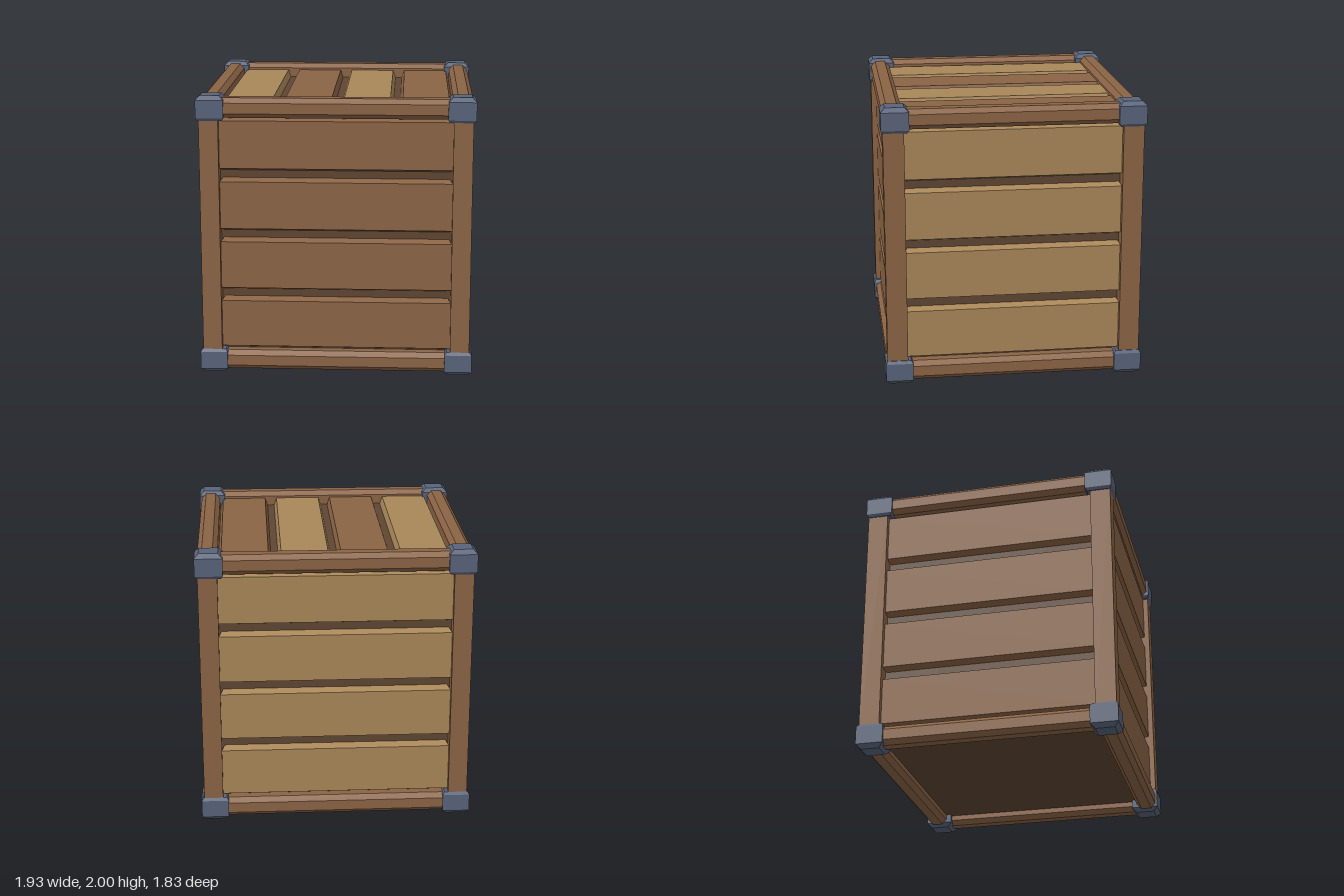
import * as THREE from 'three';

const material = (name, color) => {
  const m = new THREE.MeshStandardMaterial({ color });
  m.name = name;
  return m;
};

// Solid lofted through rectangular rings [y, halfX, halfZ], with hard edges
function loft(rings) {
  const corners = rings.map(([y, hx, hz]) =>
    [[1, 1], [1, -1], [-1, -1], [-1, 1]].map(([sx, sz]) => [sx * hx, y, sz * hz]));
  const pos = [];
  const quad = (a, b, c, d) => pos.push(...a, ...b, ...c, ...a, ...c, ...d);
  for (let i = 0; i + 1 < corners.length; i++) {
    for (let j = 0; j < 4; j++) {
      const k = (j + 1) % 4;
      quad(corners[i][j], corners[i][k], corners[i + 1][k], corners[i + 1][j]);
    }
  }
  quad(...corners[corners.length - 1]);
  quad(...[...corners[0]].reverse());
  const g = new THREE.BufferGeometry();
  g.setAttribute('position', new THREE.Float32BufferAttribute(pos, 3));
  g.computeVertexNormals();
  return g;
}

// Beam along z with chamfered long edges
function beamGeometry(length) {
  const h = 0.07, c = 0.037;
  const shape = new THREE.Shape([
    [h, -c], [h, c], [c, h], [-c, h], [-h, c], [-h, -c], [-c, -h], [c, -h],
  ].map(([x, y]) => new THREE.Vector2(x, y)));
  return new THREE.ExtrudeGeometry(shape, { depth: length, bevelEnabled: false })
    .translate(0, 0, -length / 2);
}

export function createModel() {
  const crate = new THREE.Group();
  crate.name = 'crate';
  const brown = material('brown wood', 0x8b6445);
  const tan = material('tan wood', 0xa98759);
  const dark = material('dark inner wood', 0x5f4632);
  const steel = material('blue grey steel', 0x59647a);

  const add = (parent, name, geometry, mat, x = 0, y = 0, z = 0) => {
    const mesh = new THREE.Mesh(geometry, mat);
    mesh.name = name;
    mesh.position.set(x, y, z);
    parent.add(mesh);
    return mesh;
  };

  const px = 0.878, pz = 0.828;   // frame centre lines
  const lowY = 0.09, highY = 1.913;

  // Dark core seen between the planks
  add(crate, 'core', new THREE.BoxGeometry(1.7, 1.79, 1.61), dark, 0, 0.985, 0);

  // Corner posts and steel caps
  const post = new THREE.BoxGeometry(0.135, 1.74, 0.145);
  const topCap = loft([[-0.09, 0.083, 0.083], [-0.07, 0.0965, 0.0965],
    [0.055, 0.0965, 0.0965], [0.085, 0.066, 0.066]]);
  const bottomCap = topCap.clone().rotateX(Math.PI);
  for (const sx of [-1, 1]) {
    for (const sz of [-1, 1]) {
      add(crate, 'post', post, brown, sx * px, 1, sz * pz);
      add(crate, 'topCap', topCap, steel, sx * 0.868, 1.915, sz * 0.817);
      add(crate, 'bottomCap', bottomCap, steel, sx * 0.868, 0.085, sz * 0.817);
    }
  }

  // Chamfered beams round the top and bottom
  const longBeam = beamGeometry(1.62).rotateY(Math.PI / 2);
  const sideBeam = beamGeometry(1.52);
  for (const y of [lowY, highY]) {
    for (const s of [-1, 1]) {
      add(crate, 'longBeam', longBeam, brown, 0, y, s * pz);
      add(crate, 'sideBeam', sideBeam, brown, s * px, y, 0);
    }
  }

  // Bevelled plank, outer face at local y = 0, running along x
  const plank = (halfLength, faceHalf, baseHalf) =>
    loft([[-0.07, halfLength - 0.025, baseHalf], [0, halfLength, faceHalf]]);

  // Four planks on each side wall
  const walls = [
    ['front', 0, 0.862, 0.812, brown],
    ['right', Math.PI / 2, 0.905, 0.765, tan],
    ['back', Math.PI, 0.862, 0.812, tan],
    ['left', -Math.PI / 2, 0.905, 0.765, brown],
  ];
  for (const [name, turn, distance, halfLength, mat] of walls) {
    const wall = new THREE.Group();
    wall.name = name + 'Wall';
    wall.rotation.y = turn;
    const geometry = plank(halfLength, 0.168, 0.194).rotateX(Math.PI / 2);
    for (let i = 0; i < 4; i++) {
      add(wall, 'plank', geometry, mat, 0, 0.357 + i * 0.432, distance);
    }
    crate.add(wall);
  }

  // Lid planks in alternating colours
  const lid = plank(0.76, 0.163, 0.187).rotateY(Math.PI / 2);
  for (let i = 0; i < 4; i++) {
    add(crate, 'lidPlank', lid, i % 2 ? brown : tan, -0.621 + i * 0.414, 1.935, 0);
  }

  return crate;
}
